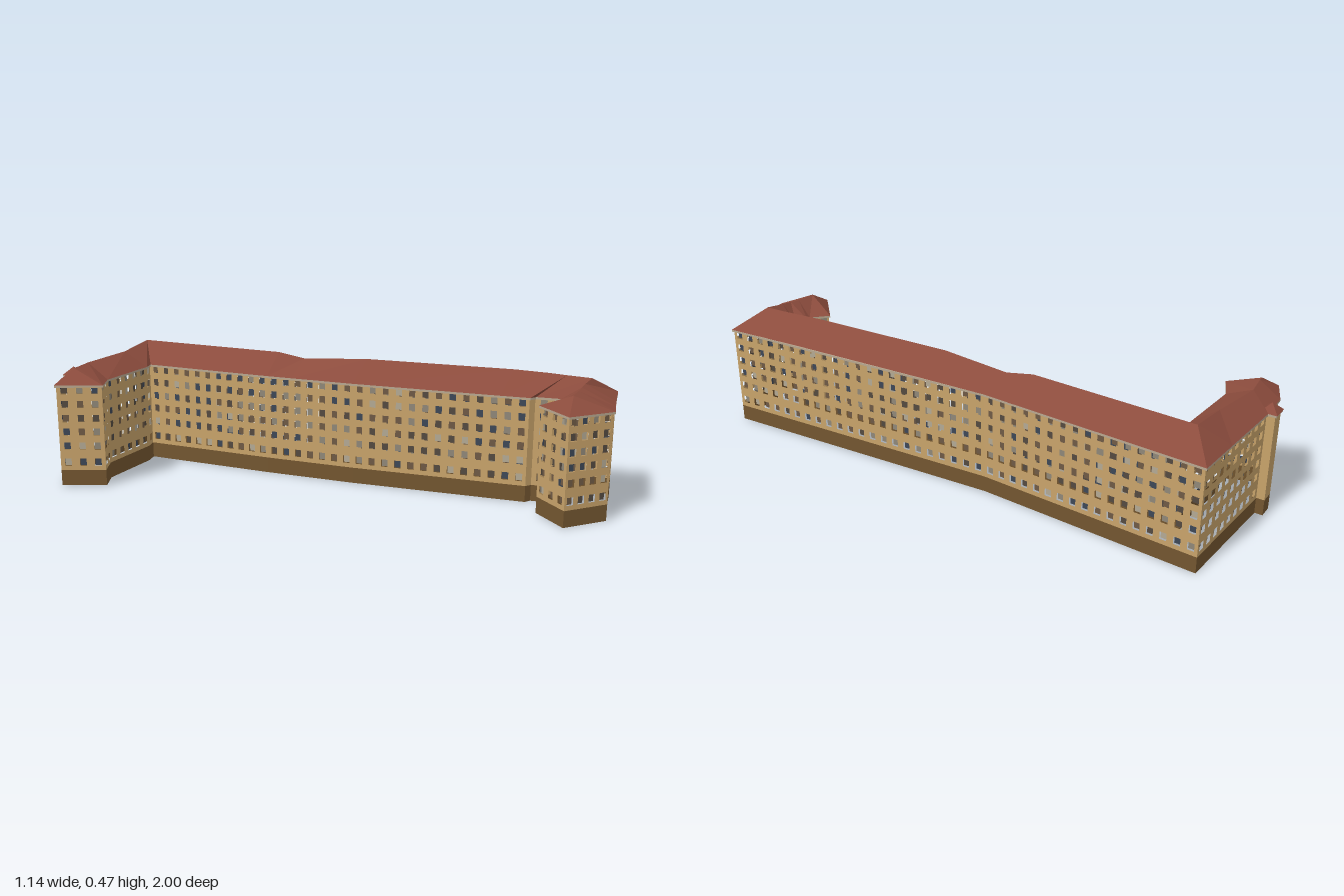
import * as THREE from 'three';
import { mergeGeometries } from 'three/addons/utils/BufferGeometryUtils.js';

const mat = (name, color) => new THREE.MeshStandardMaterial({ name, color, side: THREE.DoubleSide });
const BASE_TOP = 0.06, WALL_TOP = 0.382, EAVE = 0.387, OVERHANG = 0.006;

// Stations along the building: outer eave x,z | ridge x,z,y | inner eave x,z
const STATIONS = [
  [-0.567, -0.82, -0.48, -0.805, 0.44, -0.46, -0.675],
  [-0.48, -0.885, -0.46, -0.81, 0.44, -0.46, -0.675],
  [-0.36, -0.919, -0.38, -0.84, 0.44, -0.38, -0.735],
  [-0.1, -0.968, -0.17, -0.86, 0.447, -0.13, -0.78],
  [0.07, -1, -0.01, -0.895, 0.465, -0.09, -0.8],
  [0.207, -0.3, 0.11, -0.3, 0.465, 0.02, -0.29],
  [0.23, -0.18, 0.14, -0.2, 0.447, 0.045, -0.19],
  [0.3, 0.05, 0.2, 0.05, 0.465, 0.105, 0.05],
  [0.467, 0.58, 0.36, 0.58, 0.465, 0.259, 0.58],
  [0.507, 0.7, 0.395, 0.7, 0.461, 0.29, 0.68],
  [0.52, 0.74, 0.41, 0.76, 0.458, 0.315, 0.69],
  [0.57, 0.89, 0.43, 0.845, 0.455, 0.35, 0.8],
  [0.42, 0.942, 0.36, 0.85, 0.448, 0.335, 0.81],
  [0.35, 0.968, 0.32, 0.855, 0.444, 0.3, 0.775],
  [0.28, 0.995, 0.28, 0.86, 0.44, 0.28, 0.79],
  [0.28, 0.995, 0.205, 0.875, 0.44, 0.21, 0.75],
  [0.12, 0.9, 0.205, 0.875, 0.44, 0.21, 0.75],
];

// Eave outline without repeated or collinear points
function outline() {
  const V = (x, z) => new THREE.Vector2(x, z);
  let p = [...STATIONS.map(s => V(s[0], s[1])), ...STATIONS.map(s => V(s[5], s[6])).reverse()];
  p = p.filter((a, i) => a.distanceTo(p[(i + 1) % p.length]) > 1e-4);
  return p.filter((b, i) => {
    const d = b.clone().sub(p.at(i - 1)).normalize();
    const e = p[(i + 1) % p.length].clone().sub(b).normalize();
    return Math.abs(d.cross(e)) > 0.02;
  });
}

const normalOf = (a, b) => new THREE.Vector2(b.y - a.y, a.x - b.x).normalize();

// Mitred inward offset
function inset(p, dist) {
  return p.map((b, i) => {
    const n1 = normalOf(p.at(i - 1), b), n2 = normalOf(b, p[(i + 1) % p.length]);
    const m = n1.clone().add(n2);
    return b.clone().addScaledVector(m, -dist / Math.max(0.3, 1 + n1.dot(n2)));
  });
}

function roofGeometry() {
  const pos = [];
  const tri = (a, b, c) => {
    const [A, B, C] = [a, b, c].map(v => new THREE.Vector3(...v));
    if (B.sub(A).cross(C.sub(A)).length() > 1e-7) pos.push(...a, ...b, ...c);
  };
  const S = STATIONS.map(s => ({ o: [s[0], EAVE, s[1]], r: [s[2], s[4], s[3]], i: [s[5], EAVE, s[6]] }));
  for (let k = 0; k < S.length - 1; k++) {
    const a = S[k], b = S[k + 1];
    tri(a.o, a.r, b.r); tri(a.o, b.r, b.o);
    tri(a.i, b.i, b.r); tri(a.i, b.r, a.r);
  }
  const first = S[0], last = S.at(-1);
  tri(first.o, first.i, first.r);
  tri(last.i, last.o, last.r);
  const g = new THREE.BufferGeometry();
  g.setAttribute('position', new THREE.Float32BufferAttribute(pos, 3));
  g.computeVertexNormals();
  return g;
}

export function createModel() {
  const group = new THREE.Group();
  const wallMat = mat('ochre plaster', 0xc8a36a);
  const baseMat = mat('brown plinth', 0x735630);
  const roofMat = mat('red roof', 0x8c4c3d);
  const trimMat = mat('pale cornice', 0xb9a890);
  const glass = [
    mat('brown glass', 0x6f5a45), mat('grey glass', 0x8f8778),
    mat('blue glass', 0x3d4757), mat('light glass', 0xb3a994), mat('dark glass', 0x544a40),
  ];
  const odds = [0, 0, 0, 1, 1, 2, 2, 3, 4, 4];
  const panes = glass.map(() => []), walls = [], plinths = [];
  let seed = 7;
  const rand = () => (seed = (seed * 16807) % 2147483647) / 2147483647;
  const add = (name, geo, m, parent = group) => {
    const mesh = new THREE.Mesh(geo, m);
    mesh.name = name;
    parent.add(mesh);
  };

  const eaves = outline(), foot = inset(eaves, OVERHANG);
  const rows = [0.091, 0.154, 0.208, 0.26, 0.314, 0.365];
  const W = 0.025, H = 0.028, RECESS = 0.009;

  // Facades: pierced wall, plinth strip and recessed panes for each side
  foot.forEach((a, i) => {
    const b = foot[(i + 1) % foot.length], n = normalOf(a, b), len = a.distanceTo(b);
    const place = g => g.rotateY(Math.atan2(n.x, n.y)).translate(b.x, 0, b.y);
    const wall = new THREE.Shape([
      [0, BASE_TOP], [len, BASE_TOP], [len, WALL_TOP], [0, WALL_TOP],
    ].map(q => new THREE.Vector2(...q)));
    const count = len < 0.045 ? 0 : Math.max(1, Math.round(len / 0.05));
    for (let c = 0; c < count; c++) {
      const x = (c + 0.5) * len / count;
      for (const y of rows) {
        const h = y > 0.36 ? 0.024 : H;
        wall.holes.push(new THREE.Path([[-1, -1], [-1, 1], [1, 1], [1, -1]]
          .map(([u, v]) => new THREE.Vector2(x + u * W / 2, y + v * h / 2))));
        panes[odds[Math.floor(rand() * odds.length)]]
          .push(place(new THREE.PlaneGeometry(W, h).translate(x, y, -RECESS)));
      }
    }
    walls.push(place(new THREE.ShapeGeometry(wall)));
    plinths.push(place(new THREE.PlaneGeometry(len, BASE_TOP).translate(len / 2, BASE_TOP / 2, 0)));
  });
  add('walls', mergeGeometries(walls), wallMat);
  add('plinth', mergeGeometries(plinths), baseMat);
  panes.forEach((list, k) => add('windowPanes' + (k + 1), mergeGeometries(list), glass[k]));

  // Cornice ring under the eaves
  const flat = pts => pts.map(p => new THREE.Vector2(p.x, -p.y));
  const ring = new THREE.Shape(flat(eaves));
  ring.holes.push(new THREE.Path(flat(foot)));
  const cornice = new THREE.ExtrudeGeometry(ring, { depth: 0.008, bevelEnabled: false });
  add('cornice', cornice.rotateX(-Math.PI / 2).translate(0, EAVE - 0.008, 0), trimMat);

  // Hipped roof
  add('roof', roofGeometry(), roofMat);

  // Small stair bay on the rear of the short wing
  const bay = new THREE.Group();
  bay.name = 'stairBay';
  bay.position.set(-0.39, 0, -0.912);
  bay.rotation.y = 0.245;
  const block = (w, y0, y1) => new THREE.BoxGeometry(w, y1 - y0, w - 0.006).translate(0, (y0 + y1) / 2, 0);
  add('bayPlinth', block(0.052, 0, BASE_TOP), baseMat, bay);
  add('bayWalls', block(0.052, BASE_TOP, WALL_TOP), wallMat, bay);
  add('bayCornice', block(0.062, EAVE - 0.008, EAVE), trimMat, bay);
  const cap = new THREE.ConeGeometry(0.044, 0.03, 4).rotateY(Math.PI / 4).toNonIndexed();
  cap.computeVertexNormals();
  add('bayRoof', cap.translate(0, EAVE + 0.015, 0), roofMat, bay);
  group.add(bay);
  return group;
}
